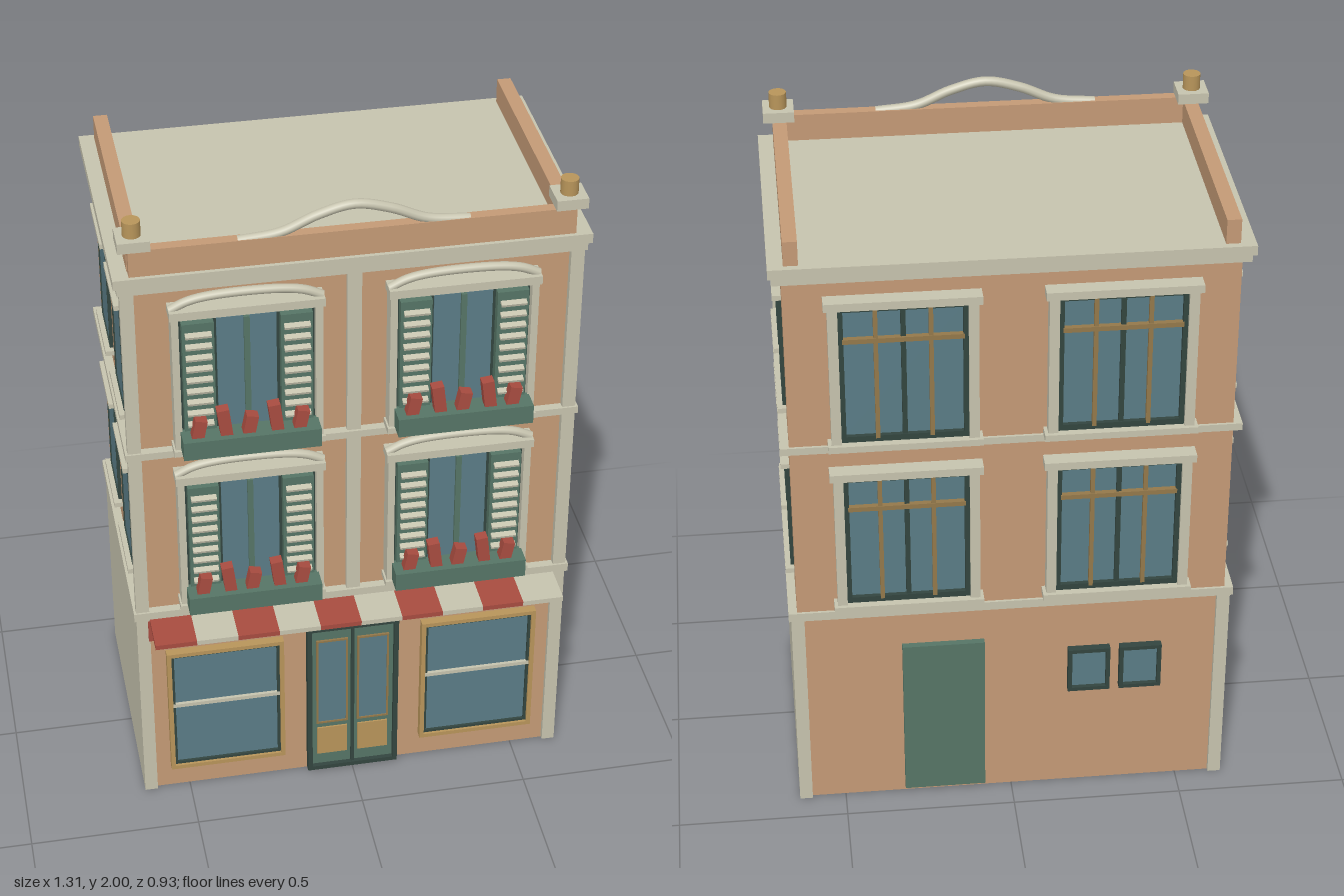
import * as THREE from 'three';

const mat = (color) => new THREE.MeshStandardMaterial({ color });
const BRICK = mat(0xc49a76), CREAM = mat(0xc6c3ae), GREEN = mat(0x567566), DARK = mat(0x33453f),
  GLASS = mat(0x5a7c86), RED = mat(0xa84c40), GOLD = mat(0xb8955a), WOOD = mat(0x94784a);

// Box given by its min/max extents
function box(parent, name, material, x0, x1, y0, y1, z0, z1) {
  const m = new THREE.Mesh(new THREE.BoxGeometry(x1 - x0, y1 - y0, z1 - z0), material);
  m.position.set((x0 + x1) / 2, (y0 + y1) / 2, (z0 + z1) / 2);
  m.name = name;
  parent.add(m);
  return m;
}

// Four bars around an opening
function frame(parent, name, material, x0, x1, y0, y1, z0, z1, t) {
  box(parent, name, material, x0, x0 + t, y0, y1, z0, z1);
  box(parent, name, material, x1 - t, x1, y0, y1, z0, z1);
  box(parent, name, material, x0 + t, x1 - t, y1 - t, y1, z0, z1);
  box(parent, name, material, x0 + t, x1 - t, y0, y0 + t, z0, z1);
}

function tube(parent, name, material, points, radius) {
  const curve = new THREE.CatmullRomCurve3(points.map((p) => new THREE.Vector3(...p)));
  const m = new THREE.Mesh(new THREE.TubeGeometry(curve, 40, radius, 10), material);
  m.name = name;
  parent.add(m);
}

function group(parent, name, x = 0, y = 0, z = 0) {
  const g = new THREE.Group();
  g.name = name;
  g.position.set(x, y, z);
  parent.add(g);
  return g;
}

// Shuttered window with hood and flower box; y = 0 is the bottom of the sill
function frontWindow(parent, x, y) {
  const w = group(parent, 'frontWindow', x, y, 0.32);
  box(w, 'windowBack', DARK, -0.187, 0.187, 0.02, 0.45, 0, 0.025);
  box(w, 'windowSill', CREAM, -0.212, 0.212, 0, 0.018, 0, 0.06);
  box(w, 'windowLintel', CREAM, -0.212, 0.212, 0.445, 0.47, 0, 0.06);
  tube(w, 'hoodArch', CREAM, [[-0.208, 0.468, 0.035], [-0.16, 0.49, 0.035], [-0.09, 0.502, 0.035],
    [0.09, 0.502, 0.035], [0.16, 0.49, 0.035], [0.208, 0.468, 0.035]], 0.013);
  for (const s of [-1, 1]) {
    box(w, 'windowJamb', CREAM, s * 0.197 - 0.01, s * 0.197 + 0.01, 0.018, 0.445, 0, 0.05);
    box(w, 'windowPane', GLASS, s * 0.045 - 0.037, s * 0.045 + 0.037, 0.04, 0.425, 0.02, 0.03);
    // Louvred shutter
    const shutter = group(w, 'shutter', s * 0.135, 0, 0);
    box(shutter, 'shutterPanel', GREEN, -0.044, 0.044, 0.04, 0.425, 0.02, 0.05);
    for (let i = 0; i < 9; i++) {
      const slat = box(shutter, 'shutterSlat', CREAM, -0.036, 0.036, 0.1 + i * 0.036, 0.108 + i * 0.036, 0.048, 0.066);
      slat.rotation.x = 0.3;
    }
  }
  box(w, 'windowMullion', GREEN, -0.008, 0.008, 0.04, 0.425, 0.02, 0.04);
  // Flower box
  box(w, 'planter', GREEN, -0.192, 0.192, 0.02, 0.078, 0.04, 0.108);
  for (let i = 0; i < 5; i++) {
    const h = i % 2 ? 0.09 : 0.062;
    const flower = box(w, 'flower', RED, -0.017, 0.017, 0.07, 0.07 + h, 0.058, 0.09);
    flower.position.x = -0.144 + i * 0.071;
    flower.rotation.z = i % 2 ? 0.12 : -0.2;
  }
}

// Large rear window, built facing +z
function backWindow(parent, x, y) {
  const w = group(parent, 'backWindow', x, y, -0.42);
  w.rotation.y = Math.PI;
  box(w, 'windowPane', GLASS, -0.18, 0.18, 0.02, 0.45, 0, 0.012);
  frame(w, 'windowFrame', DARK, -0.18, 0.18, 0.02, 0.45, 0, 0.025, 0.018);
  box(w, 'windowSill', CREAM, -0.214, 0.214, 0, 0.02, 0, 0.047);
  box(w, 'windowLintel', CREAM, -0.214, 0.214, 0.448, 0.472, 0, 0.047);
  for (const s of [-1, 1]) {
    box(w, 'windowJamb', CREAM, s * 0.19 - 0.014, s * 0.19 + 0.014, 0.02, 0.448, 0, 0.036);
    box(w, 'windowBar', WOOD, s * 0.075 - 0.006, s * 0.075 + 0.006, 0.03, 0.44, 0, 0.026);
  }
  box(w, 'windowMullion', DARK, -0.007, 0.007, 0.03, 0.44, 0, 0.022);
  box(w, 'windowTransom', WOOD, -0.165, 0.165, 0.335, 0.349, 0, 0.028);
}

// Plain side window, side = +1 or -1
function sideWindow(parent, side, z, y) {
  const w = group(parent, 'sideWindow', side * 0.62, y, z);
  w.rotation.y = side * Math.PI / 2;
  box(w, 'windowPane', GLASS, -0.094, 0.094, 0.015, 0.36, 0, 0.006);
  frame(w, 'windowFrame', DARK, -0.097, 0.097, 0.012, 0.363, 0, 0.01, 0.005);
  box(w, 'windowSill', CREAM, -0.116, 0.116, 0, 0.015, 0, 0.025);
  box(w, 'windowLintel', CREAM, -0.116, 0.116, 0.36, 0.375, 0, 0.025);
}

function shopWindow(parent, x) {
  const w = group(parent, 'shopWindow', x, 0, 0.32);
  box(w, 'shopPane', GLASS, -0.165, 0.165, 0.09, 0.52, 0, 0.01);
  frame(w, 'shopFrame', GOLD, -0.174, 0.174, 0.082, 0.53, 0, 0.026, 0.013);
  frame(w, 'shopInnerFrame', DARK, -0.161, 0.161, 0.095, 0.517, 0, 0.018, 0.008);
  box(w, 'shopRail', CREAM, -0.165, 0.165, 0.32, 0.332, 0, 0.02);
}

function frontDoor(parent) {
  const d = group(parent, 'frontDoor', 0, 0, 0.32);
  box(d, 'doorPanel', GREEN, -0.13, 0.13, 0.006, 0.555, 0, 0.012);
  frame(d, 'doorFrame', DARK, -0.138, 0.138, 0.006, 0.562, 0, 0.026, 0.014);
  for (const s of [-1, 1]) {
    const leaf = group(d, 'doorLeaf', s * 0.062, 0, 0);
    box(leaf, 'doorGlass', GLASS, -0.042, 0.042, 0.19, 0.5, 0, 0.015);
    frame(leaf, 'doorGlassFrame', WOOD, -0.048, 0.048, 0.184, 0.506, 0, 0.018, 0.006);
    box(leaf, 'kickPanel', GOLD, -0.046, 0.046, 0.062, 0.165, 0, 0.017);
  }
  box(d, 'doorMeeting', DARK, -0.005, 0.005, 0.02, 0.548, 0, 0.02);
}

export function createModel() {
  const model = new THREE.Group();
  model.name = 'townBuilding';

  // Walls
  box(model, 'groundFloor', BRICK, -0.62, 0.62, 0, 0.67, -0.405, 0.32);
  box(model, 'upperFloors', BRICK, -0.62, 0.62, 0.67, 1.79, -0.42, 0.32);
  for (const s of [-1, 1]) {
    const [a, b] = s > 0 ? [0.6, 0.638] : [-0.638, -0.6];
    box(model, 'sidePanel', CREAM, a, b, 0.003, 0.675, -0.42, 0.335);
    box(model, 'cornerPillar', CREAM, a, b, 0.67, 1.785, 0.315, 0.34);
  }
  box(model, 'centrePilaster', CREAM, -0.02, 0.02, 0.69, 1.785, 0.31, 0.338);

  // Horizontal bands and cornice
  box(model, 'lowerBand', CREAM, -0.645, 0.645, 0.67, 0.697, -0.428, 0.346);
  box(model, 'middleBand', CREAM, -0.645, 0.645, 1.24, 1.262, -0.428, 0.346);
  box(model, 'corniceMoulding', CREAM, -0.645, 0.645, 1.78, 1.806, -0.432, 0.343);
  box(model, 'cornice', CREAM, -0.655, 0.655, 1.806, 1.835, -0.445, 0.352);

  // Parapet, its curved crest and corner finials
  box(model, 'frontParapet', BRICK, -0.61, 0.61, 1.835, 1.915, 0.308, 0.34);
  for (const s of [-1, 1]) {
    box(model, 'sideParapet', BRICK, s * 0.592 - 0.02, s * 0.592 + 0.02, 1.835, 1.907, -0.425, 0.308);
    box(model, 'finialBase', CREAM, s * 0.594 - 0.044, s * 0.594 + 0.044, 1.915, 1.946, 0.262, 0.35);
    const finial = new THREE.Mesh(new THREE.CylinderGeometry(0.025, 0.025, 0.046, 16), GOLD);
    finial.position.set(s * 0.594, 1.968, 0.306);
    finial.name = 'finial';
    model.add(finial);
  }
  tube(model, 'parapetCrest', CREAM, [[-0.315, 1.908, 0.325], [-0.2, 1.921, 0.325], [-0.1, 1.963, 0.325],
    [0, 1.986, 0.325], [0.1, 1.963, 0.325], [0.2, 1.921, 0.325], [0.315, 1.908, 0.325]], 0.014);

  // Shop front
  box(model, 'signBoard', RED, -0.605, 0.605, 0.585, 0.658, 0.31, 0.338);
  for (let i = 0; i < 10; i++) {
    const x = -0.6 + i * 0.12;
    box(model, 'awningStripe', i % 2 ? CREAM : RED, x, x + 0.12, 0.658, 0.673, 0.32, 0.467);
  }
  frontDoor(model);
  for (const s of [-1, 1]) shopWindow(model, s * 0.382);

  // Upper windows on all sides
  for (const y of [0.718, 1.263]) {
    for (const s of [-1, 1]) {
      frontWindow(model, s * 0.3, y);
      backWindow(model, s * 0.299, y);
      for (const z of [0.122, -0.202]) sideWindow(model, s, z, y + 0.047);
    }
  }

  // Rear door and small rear windows
  box(model, 'backDoor', GREEN, 0.08, 0.32, 0.02, 0.55, -0.425, -0.4);
  for (const x of [-0.228, -0.38]) {
    box(model, 'smallPane', GLASS, x - 0.055, x + 0.055, 0.36, 0.495, -0.415, -0.4);
    frame(model, 'smallFrame', DARK, x - 0.062, x + 0.062, 0.352, 0.502, -0.428, -0.4, 0.012);
  }
  return model;
}
